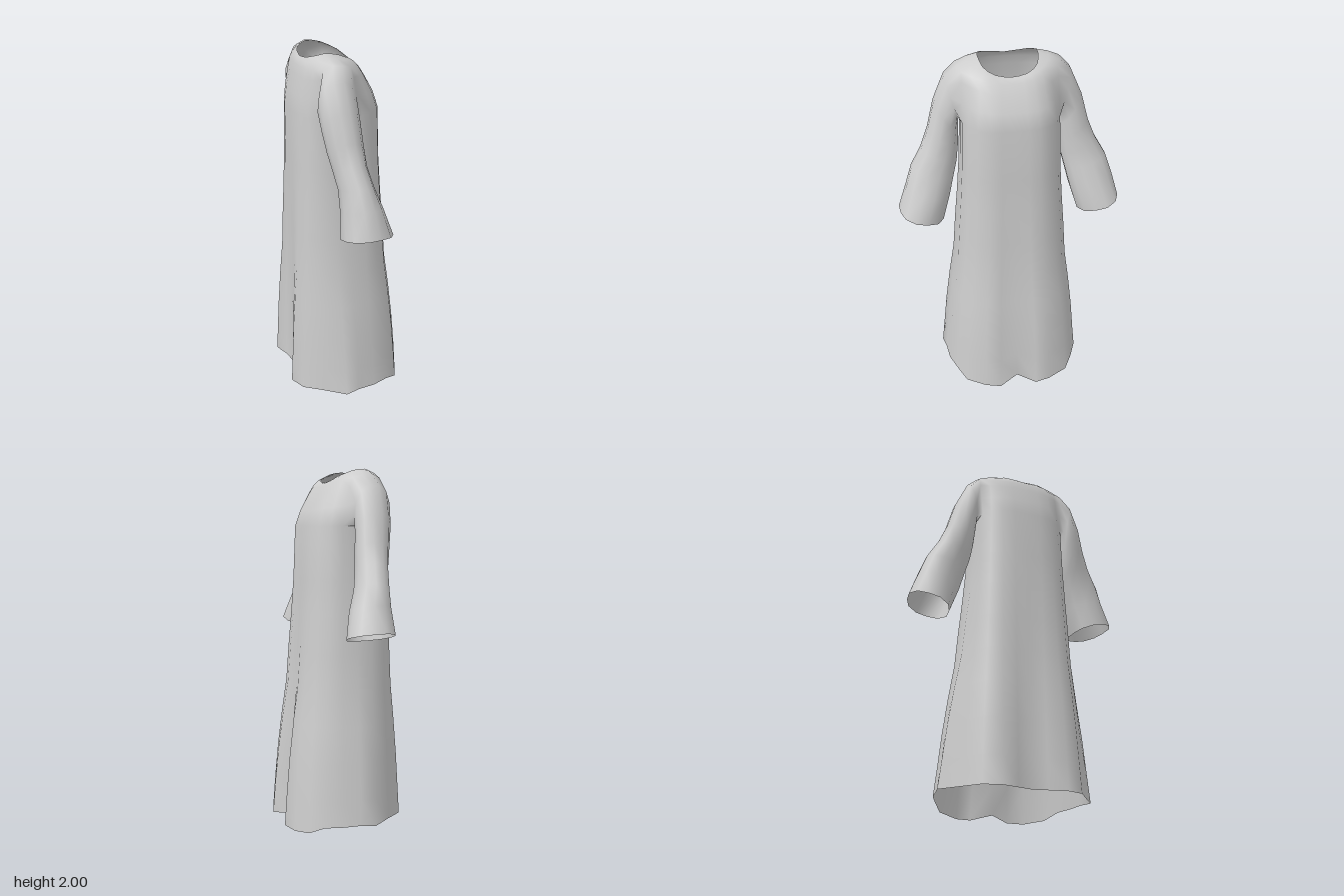
import * as THREE from 'three';

// Half outlines run from the front (+x) round the left side (+z) to the back: [x, y, z]
const HEM = [[.285, .03, 0], [.343, .005, .11], [.315, 0, .2], [.27, .02, .31], [.195, .055, .36], [.1, .06, .4], [0, .06, .412],
  [-.08, .055, .43], [-.2, .05, .34], [-.3, .045, .27], [-.343, .04, .175], [-.305, .045, .08], [-.288, .045, 0]];
const CHEST = [[.19, 0], [.19, .07], [.185, .13], [.16, .19], [.11, .235], [.05, .26], [-.03, .262], [-.11, .26], [-.18, .25],
  [-.225, .21], [-.255, .15], [-.27, .08], [-.27, 0]].map(([x, z]) => [x, 1.69, z]);
const SHOULDER = [[.085, 1.905, 0], [.085, 1.906, .06], [.08, 1.912, .11], [.06, 1.925, .16], [.03, 1.935, .205], [-.01, 1.945, .25],
  [-.06, 1.96, .27], [-.11, 1.965, .275], [-.16, 1.945, .265], [-.19, 1.93, .21], [-.215, 1.925, .15], [-.225, 1.925, .08], [-.23, 1.925, 0]];
const NECK = [[.055, 1.93, 0], [.052, 1.933, .04], [.045, 1.94, .08], [.03, 1.955, .115], [0, 1.97, .14], [-.04, 1.987, .152],
  [-.08, 1.997, .157], [-.12, 2, .155], [-.155, 1.99, .14], [-.18, 1.98, .115], [-.195, 1.97, .08], [-.2, 1.965, .04], [-.203, 1.96, 0]];

// Skirt levels: [height, share of the hem flare]
const SKIRT = [[.2, .9], [.4, .77], [.6, .6], [.8, .4], [1, .3], [1.2, .18], [1.4, .08]];

// Sleeve rings: [centre x, half width, outer z, outer y, inner z, inner y]
const SLEEVE = [[-.1, .103, .335, 1.905, .268, 1.65], [-.09, .1, .4, 1.76, .272, 1.58], [-.075, .095, .44, 1.61, .277, 1.5],
  [-.06, .088, .485, 1.5, .287, 1.42], [-.04, .09, .545, 1.4, .31, 1.33], [-.02, .11, .583, 1.29, .338, 1.22], [-.005, .138, .632, 1.15, .38, 1.08]];

const COLS = 24, mix = (a, b, f) => a + (b - a) * f;

export function createModel() {
  const cloth = new THREE.MeshStandardMaterial({ color: 0xcccccc, side: THREE.DoubleSide });
  cloth.name = 'grey cloth';

  // Body levels, hem to neckline
  const levels = [
    HEM,
    ...SKIRT.map(([y, f]) => CHEST.map((p, i) => [mix(p[0], HEM[i][0], f), y, mix(p[2], HEM[i][2], f)])),
    CHEST,
    ...[.4, .8].map(f => CHEST.map((p, i) => {
      const q = SHOULDER[i];
      return [mix(p[0], q[0], f ** 1.4), mix(p[1], q[1], f), mix(p[2], q[2], f)];
    })),
    SHOULDER,
    SHOULDER.map((p, i) => [mix(p[0], NECK[i][0], .5), mix(p[1], NECK[i][1], .5) + .006, mix(p[2], NECK[i][2], .5)]),
    NECK,
  ];
  const points = [];
  for (const level of levels) {
    for (let c = 0; c < COLS; c++) {
      const [x, y, z] = level[c <= 12 ? c : COLS - c];
      points.push(x, y, c <= 12 ? z : -z);
    }
  }
  const at = (row, col) => row * COLS + (col + COLS) % COLS;
  const quad = (list, a, b, c, d, flip) => list.push(...(flip ? [a, c, b, a, d, c] : [a, b, c, a, c, d]));

  // Body faces, leaving an armhole on each side
  const base = SKIRT.length + 1, top = base + 3;
  const body = [];
  for (let r = 0; r < levels.length - 1; r++) {
    for (let c = 0; c < COLS; c++) {
      const side = (c >= 5 && c < 8) || (c >= 16 && c < 19);
      if (side && r >= base && r < top) continue;
      quad(body, at(r, c), at(r + 1, c), at(r + 1, c + 1), at(r, c + 1));
    }
  }

  // Each sleeve grows from its armhole edge
  const makeSleeve = s => {
    let ring = [[0, 5], [1, 5], [2, 5], [3, 5], [3, 6], [3, 7], [3, 8], [2, 8], [1, 8], [0, 8], [0, 7], [0, 6]]
      .map(([r, c]) => at(base + r, s * c));
    const faces = [];
    SLEEVE.forEach(([cx, w, oz, oy, iz, iy], k) => {
      const start = points.length / 3;
      const next = ring.map((_, i) => {
        const t = (i * 30 - 45) * Math.PI / 180;
        const fold = k === SLEEVE.length - 1 && i % 3 === 1 ? .94 : 1;
        const u = Math.sin(t) * fold / 2;
        points.push(cx + w * fold * Math.cos(t), (oy + iy) / 2 + (oy - iy) * u, s * ((oz + iz) / 2 + (oz - iz) * u));
        return start + i;
      });
      ring.forEach((a, i) => {
        const j = (i + 1) % ring.length;
        quad(faces, a, ring[j], next[j], next[i], s < 0);
      });
      ring = next;
    });
    return faces;
  };
  const left = makeSleeve(1), right = makeSleeve(-1);

  // Shared smooth normals hide the seams between parts
  const whole = new THREE.BufferGeometry();
  whole.setAttribute('position', new THREE.Float32BufferAttribute(points, 3));
  whole.setIndex([...body, ...left, ...right]);
  whole.computeVertexNormals();

  const group = new THREE.Group();
  group.name = 'robe';
  for (const [name, faces] of [['robeBody', body], ['leftSleeve', left], ['rightSleeve', right]]) {
    const geometry = new THREE.BufferGeometry();
    geometry.setAttribute('position', whole.attributes.position);
    geometry.setAttribute('normal', whole.attributes.normal);
    geometry.setIndex(faces);
    const mesh = new THREE.Mesh(geometry, cloth);
    mesh.name = name;
    group.add(mesh);
  }
  return group;
}
